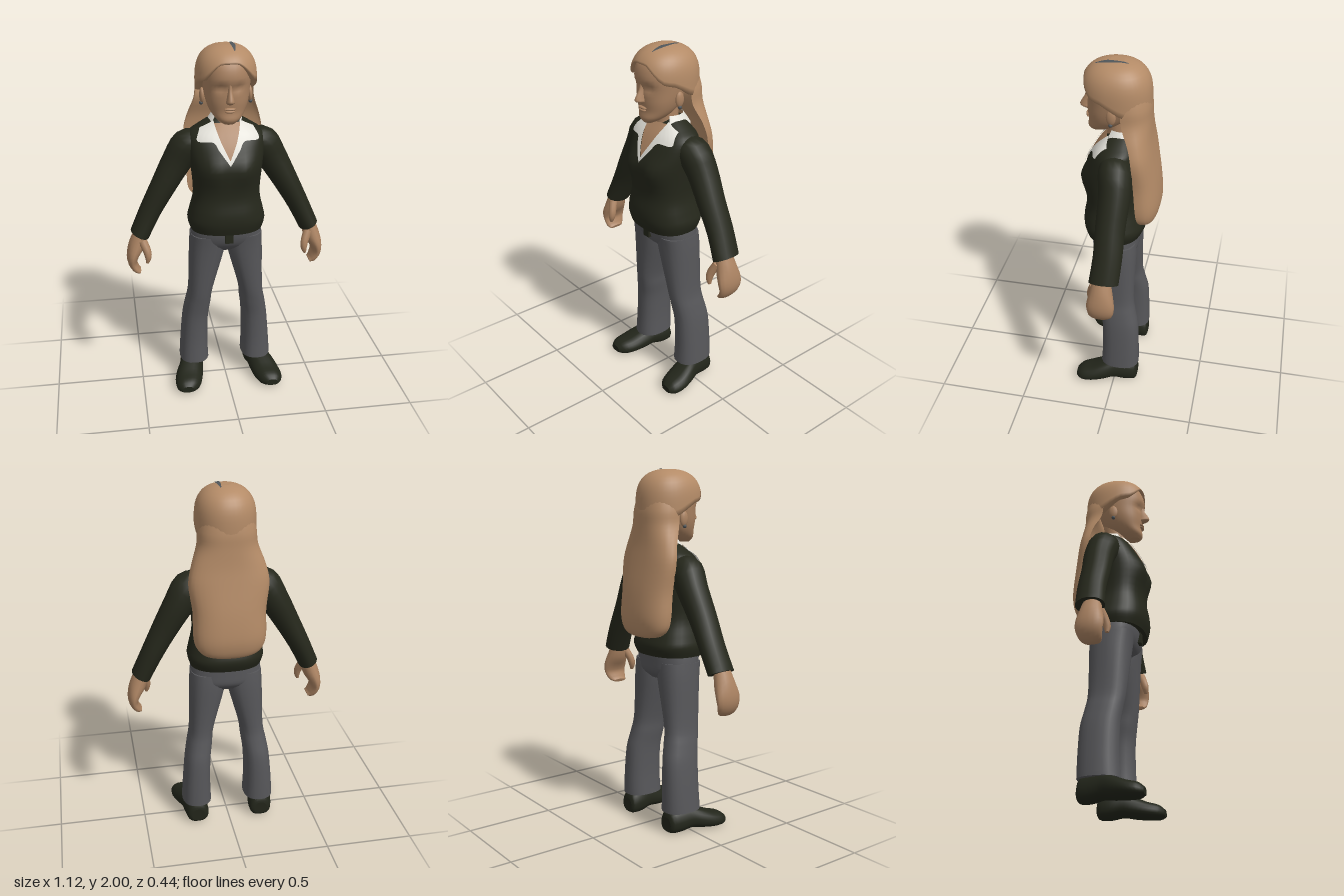
import * as THREE from 'three';

const mat = (name, color, side = THREE.FrontSide) => {
  const m = new THREE.MeshStandardMaterial({ color, side });
  m.name = name;
  return m;
};

export function createModel() {
  const model = new THREE.Group();
  const skin = mat('skin', 0xab8362, THREE.DoubleSide);
  const hair = mat('hair', 0xb48b67, THREE.DoubleSide);
  const knit = mat('dark sweater', 0x25271b);
  const denim = mat('grey trousers', 0x57575a);
  const leather = mat('dark shoes', 0x22251a);
  const white = mat('white collar', 0xe2e0d8, THREE.DoubleSide);
  const partGrey = mat('parting grey', 0x50565a, THREE.DoubleSide);

  const add = (name, geo, material) => {
    const mesh = new THREE.Mesh(geo, material);
    mesh.name = name;
    model.add(mesh);
    return mesh;
  };

  // Catmull-Rom smoothing of a list of section rows
  const smooth = (rows, k = 4) => {
    const out = [], at = i => rows[Math.max(0, Math.min(rows.length - 1, i))];
    for (let i = 0; i < rows.length - 1; i++) for (let j = 0; j < k; j++) {
      const t = j / k;
      out.push(rows[i].map((b, c) => {
        const a = at(i - 1)[c], d = at(i + 1)[c], e = at(i + 2)[c];
        return b + 0.5 * t * (d - a + t * (2 * a - 5 * b + 4 * d - e + t * (3 * (b - d) + e - a)));
      }));
    }
    out.push(rows[rows.length - 1]);
    return out;
  };

  // Superellipse point on the unit circle
  const unit = (a, p = 2) => [Math.cos(a), Math.sin(a)].map(v => Math.sign(v) * Math.abs(v) ** (2 / p));
  const around = (n, f) => Array.from({ length: n }, (_, i) => f(i / n * Math.PI * 2));

  // Skin a list of closed rings and cap both ends
  const loft = rings => {
    const n = rings[0].length, pos = rings.flat(2), idx = [];
    for (let r = 0; r < rings.length - 1; r++) for (let i = 0; i < n; i++) {
      const a = r * n + i, b = r * n + (i + 1) % n;
      idx.push(a, b, a + n, b, b + n, a + n);
    }
    [rings[0], rings[rings.length - 1]].forEach((ring, end) => {
      const s = pos.length / 3, c = [0, 1, 2].map(k => ring.reduce((q, p) => q + p[k], 0) / n);
      pos.push(...ring.flat(), ...c);
      for (let i = 0; i < n; i++) {
        const j = (i + 1) % n;
        if (end) idx.push(s + i, s + j, s + n); else idx.push(s + j, s + i, s + n);
      }
    });
    // turn the faces outward if the solid came out inverted
    const v = i => new THREE.Vector3().fromArray(pos, i * 3);
    let volume = 0;
    for (let i = 0; i < idx.length; i += 3) volume += v(idx[i]).dot(v(idx[i + 1]).cross(v(idx[i + 2])));
    if (volume < 0) idx.reverse();
    const g = new THREE.BufferGeometry();
    g.setAttribute('position', new THREE.Float32BufferAttribute(pos, 3));
    g.setIndex(idx);
    g.computeVertexNormals();
    return g;
  };

  // Upright body: rows of [y, centre x, half width, front z, back z]
  const body = (rows, p = 2, n = 28, bump = () => 0) => loft(smooth(rows).map(([y, x, w, f, b]) =>
    around(n, a => {
      const [c, s] = unit(a, p), px = x + c * w;
      return [px, y, (f + b) / 2 + s * (f - b) / 2 + (s > 0 ? bump(px, y) * s : 0)];
    })));

  // Limb along a path in the xy plane: rows of [x, y, z, radius across, radius in z]
  const limb = (rows, s, n = 16) => {
    const q = smooth(rows, 3);
    return loft(q.map(([x, y, z, ru, rz], i) => {
      const a = q[Math.max(0, i - 1)], b = q[Math.min(q.length - 1, i + 1)];
      const dx = b[0] - a[0], dy = b[1] - a[1], l = Math.hypot(dx, dy);
      return around(n, t => [s * (x - dy / l * ru * Math.cos(t)), y + dx / l * ru * Math.cos(t), z + rz * Math.sin(t)]);
    }));
  };
  const gauss = (x, y, r) => Math.exp(-(x * x + y * y) / (r * r));

  // Sweater body
  const torso = add('sweaterBody', body([
    [0.985, 0, 0.2, 0.185, -0.125], [1.04, 0, 0.215, 0.2, -0.145], [1.1, 0, 0.203, 0.2, -0.13],
    [1.2, 0, 0.183, 0.185, -0.1], [1.35, 0, 0.195, 0.195, -0.105], [1.45, 0, 0.208, 0.165, -0.11],
    [1.525, 0, 0.205, 0.122, -0.105], [1.57, 0, 0.145, 0.085, -0.085], [1.61, 0, 0.075, 0.05, -0.06],
  ], 2.4, 36, (x, y) => 0.022 * gauss(Math.abs(x) - 0.09, y - 1.35, 0.07)), knit);

  // Trousers: hips, fly tab and legs
  add('hips', body([[1.03, 0, 0.19, 0.16, -0.11], [0.95, 0, 0.2, 0.15, -0.11],
    [0.89, 0, 0.195, 0.125, -0.105], [0.85, 0, 0.14, 0.08, -0.07]], 2.5), denim);
  const tab = add('beltEnd', new THREE.BoxGeometry(0.045, 0.08, 0.02), knit);
  tab.position.set(0, 0.965, 0.152);

  // Shoes: rows of [z, centre x, half width, bottom, top]
  const shoeRows = [[-0.135, 0.19, 0.04, 0.015, 0.09], [-0.12, 0.19, 0.062, 0, 0.125], [-0.06, 0.195, 0.07, 0, 0.14],
    [0, 0.205, 0.07, 0.012, 0.14], [0.06, 0.22, 0.078, 0.005, 0.12], [0.13, 0.235, 0.08, 0, 0.092],
    [0.19, 0.245, 0.066, 0, 0.075], [0.222, 0.25, 0.035, 0.012, 0.05]];

  for (const s of [1, -1]) {
    const side = s > 0 ? 'left' : 'right';
    add(side + 'Leg', body([
      [0.95, s * 0.102, 0.1, 0.14, -0.1], [0.85, s * 0.108, 0.1, 0.127, -0.105], [0.6, s * 0.145, 0.07, 0.105, -0.1],
      [0.5, s * 0.16, 0.072, 0.09, -0.113], [0.4, s * 0.175, 0.074, 0.077, -0.133],
      [0.25, s * 0.184, 0.079, 0.075, -0.14], [0.12, s * 0.186, 0.086, 0.082, -0.142],
    ], 2.4, 20), denim);
    add(side + 'Shoe', loft(smooth(shoeRows, 3).map(([z, x, w, b, t]) => around(20, a => {
      const [c, u] = unit(a, 2.8);
      return [s * (x + c * w * (u > 0 ? 1 - 0.25 * u : 1)), Math.max(0, (b + t) / 2 + u * (t - b) / 2), z];
    }))), leather);
    add(side + 'Sleeve', limb([
      [0.13, 1.495, 0, 0.05, 0.07], [0.2, 1.455, -0.005, 0.092, 0.09], [0.265, 1.36, -0.015, 0.083, 0.085],
      [0.345, 1.22, -0.01, 0.07, 0.08], [0.42, 1.08, -0.01, 0.06, 0.078], [0.482, 0.95, 0, 0.055, 0.08],
    ], s), knit);
    add(side + 'Hand', limb([
      [0.472, 0.98, 0.01, 0.035, 0.045], [0.498, 0.9, 0.01, 0.046, 0.062], [0.525, 0.835, 0.01, 0.036, 0.075],
      [0.53, 0.785, 0.01, 0.026, 0.07], [0.51, 0.745, 0.015, 0.02, 0.058], [0.488, 0.732, 0.02, 0.01, 0.04],
    ], s), skin);
    add(side + 'Thumb', limb([[0.475, 0.93, 0.045, 0.026, 0.028], [0.45, 0.875, 0.07, 0.023, 0.024],
      [0.444, 0.835, 0.08, 0.018, 0.02], [0.45, 0.803, 0.082, 0.008, 0.01]], s, 10), skin);
    const ear = add(side + 'Ear', new THREE.SphereGeometry(1, 12, 10), skin);
    ear.scale.set(0.014, 0.042, 0.026);
    ear.position.set(s * 0.128, 1.735, 0.03);
    const stud = add(side + 'Earring', new THREE.SphereGeometry(0.011, 8, 6), partGrey);
    stud.position.set(s * 0.132, 1.695, 0.032);
  }

  // Neck, head with eye sockets, nose and lips
  add('neck', body([[1.52, 0, 0.075, 0.1, -0.06], [1.6, 0, 0.062, 0.075, -0.05], [1.72, 0, 0.06, 0.09, -0.06]], 2, 18), skin);
  add('head', body([
    [1.605, 0, 0.03, 0.16, 0.1], [1.63, 0, 0.066, 0.175, 0.035], [1.67, 0, 0.095, 0.17, -0.02],
    [1.72, 0, 0.113, 0.175, -0.06], [1.78, 0, 0.123, 0.178, -0.1], [1.85, 0, 0.128, 0.19, -0.13],
    [1.92, 0, 0.122, 0.17, -0.13], [1.97, 0, 0.07, 0.11, -0.08],
  ], 2.2, 36, (x, y) => -0.018 * gauss(Math.abs(x) - 0.045, (y - 1.8) * 1.5, 0.03)), skin);
  add('nose', body([[1.715, 0, 0.014, 0.185, 0.14], [1.728, 0, 0.023, 0.215, 0.14],
    [1.745, 0, 0.019, 0.217, 0.14], [1.79, 0, 0.012, 0.192, 0.14], [1.83, 0, 0.012, 0.184, 0.14]], 2, 12), skin);
  [1.69, 1.677].forEach((y, i) => {
    const lip = add(i ? 'lowerLip' : 'upperLip', new THREE.SphereGeometry(1, 12, 8), skin);
    lip.scale.set(0.032 - i * 0.005, 0.008, 0.014);
    lip.position.set(0, y, 0.172);
  });

  // Hair cap with a hairline that rises over the forehead
  const capRings = [];
  const hairline = a => {
    const d = Math.abs(Math.atan2(Math.cos(a), Math.sin(a)));
    return 1.925 - 0.1 * THREE.MathUtils.smoothstep(d, 0.2, 1.1) - 0.08 * THREE.MathUtils.smoothstep(d, 1.1, 2);
  };
  for (let r = -1; r <= 12; r++) capRings.push(around(40, a => {
    const v = Math.sin(Math.max(r, 0) / 12 * Math.PI / 2), y = hairline(a) + (1.999 - hairline(a)) * v;
    const h = Math.max(0, (y - 1.8) / 0.2), k = (r < 0 ? 0.82 : 1) * Math.max(0.02, 1 - h ** 3) ** 0.42;
    const [c, s] = unit(a, 2.15);
    return [c * k * 0.163, y, 0.02 + s * k * (s > 0 ? 0.19 : 0.18)];
  }));
  const cap = add('hairCap', loft(capRings), hair);

  // Long hair down the back: rows of [y, half width, side z, back z, inner z]
  add('longHair', loft(smooth([
    [1.88, 0.13, 0, -0.14, -0.1], [1.78, 0.155, -0.02, -0.16, -0.08], [1.7, 0.163, -0.03, -0.163, -0.06],
    [1.6, 0.198, -0.07, -0.17, -0.09], [1.5, 0.218, -0.09, -0.185, -0.1], [1.35, 0.2, -0.1, -0.21, -0.115],
    [1.22, 0.2, -0.11, -0.222, -0.12], [1.15, 0.186, -0.12, -0.215, -0.13], [1.11, 0.145, -0.14, -0.2, -0.15],
    [1.095, 0.08, -0.155, -0.185, -0.16],
  ]).map(([y, w, side, back, inner]) => around(32, a => {
    const [c, s] = unit(a, 2.5);
    return [c * w, y, side + (s > 0 ? s * (back - side) : -s * (inner - side))];
  }))), hair);

  // Thin patch between two edges, laid on a surface by casting along an axis
  const ray = new THREE.Raycaster();
  const patch = (name, A, B, target, material, lift, down = false) => {
    const a = smooth(A, 6), b = smooth(B, 6), g = new THREE.PlaneGeometry(1, 1, 8, a.length - 1);
    a.forEach((p, i) => {
      for (let j = 0; j <= 8; j++) {
        const u = p[0] + (b[i][0] - p[0]) * j / 8, v = p[1] + (b[i][1] - p[1]) * j / 8;
        ray.set(down ? new THREE.Vector3(u, 3, v) : new THREE.Vector3(u, v, 3),
          down ? new THREE.Vector3(0, -1, 0) : new THREE.Vector3(0, 0, -1));
        const hit = ray.intersectObject(target)[0];
        const d = (hit ? 3 - hit.distance : down ? 1.98 : 0.02) + lift;
        if (down) g.attributes.position.setXYZ(i * 9 + j, u, Math.min(d, 2), v);
        else g.attributes.position.setXYZ(i * 9 + j, u, v, d);
      }
    });
    g.computeVertexNormals();
    add(name, g, material);
  };

  // Open neckline, collar wings, collar band and hair parting
  patch('neckline', [[-0.08, 1.59], [-0.045, 1.5], [0, 1.405]], [[0.08, 1.59], [0.045, 1.5], [0, 1.405]], torso, skin, 0.006);
  for (const s of [1, -1]) patch(s > 0 ? 'leftCollar' : 'rightCollar',
    [[0, 1.415], [s * 0.034, 1.485], [s * 0.05, 1.525], [s * 0.066, 1.575], [s * 0.07, 1.6]],
    [[0, 1.388], [s * 0.055, 1.465], [s * 0.085, 1.505], [s * 0.165, 1.508], [s * 0.145, 1.565]], torso, white, 0.012);
  const band = add('collarBand', new THREE.CylinderGeometry(0.074, 0.115, 0.06, 28, 1, true, 0.9, Math.PI * 2 - 1.8), white);
  band.position.set(0, 1.597, -0.005);
  patch('parting', [[0.03, -0.04], [0.02, 0.05], [0.028, 0.13]], [[0.036, -0.04], [0.045, 0.06], [0.032, 0.13]], cap, partGrey, 0.003, true);

  return model;
}
